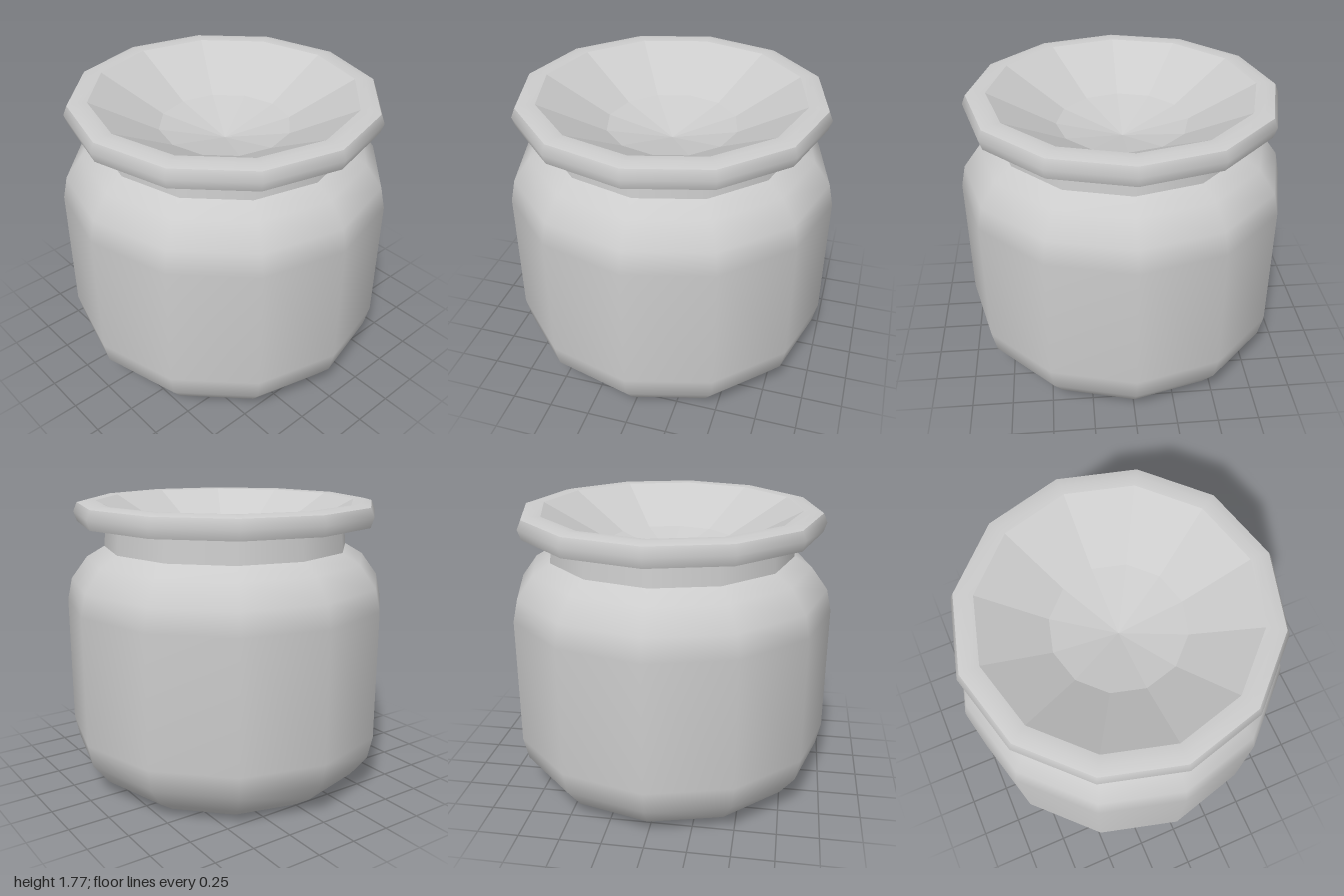
import * as THREE from 'three';

const SIDES = 12;

// Revolves a profile of [radius, height] points; each call is its own smoothing group
function turned(name, profile, flatShading = false) {
  const points = profile.map(([r, y]) => new THREE.Vector2(r, y));
  const material = new THREE.MeshStandardMaterial({ color: 0xcccccc, flatShading });
  const mesh = new THREE.Mesh(new THREE.LatheGeometry(points, SIDES), material);
  mesh.name = name;
  return mesh;
}

export function createModel() {
  const pot = new THREE.Group();
  pot.name = 'pot';

  pot.add(
    // flat underside and rounded body
    turned('base', [[0, 0], [0.74, 0]]),
    turned('body', [
      [0.74, 0], [0.87, 0.09], [0.97, 0.22], [1, 0.36],
      [1, 1.15], [0.97, 1.285], [0.87, 1.42], [0.76, 1.485],
    ]),
    // neck between the shoulder and the rim
    turned('neck', [[0.76, 1.485], [0.745, 1.64]]),
    // overhanging rim
    turned('rimUnderside', [[0.745, 1.635], [0.92, 1.64]]),
    turned('rimEdge', [[0.92, 1.64], [0.94, 1.7], [0.917, 1.755]]),
    turned('rimTop', [[0.917, 1.755], [0.86, 1.77], [0.8, 1.765]]),
    // faceted shallow bowl inside the rim
    turned('bowl', [[0.8, 1.765], [0.4, 1.55], [0, 1.455]], true),
  );

  return pot;
}
